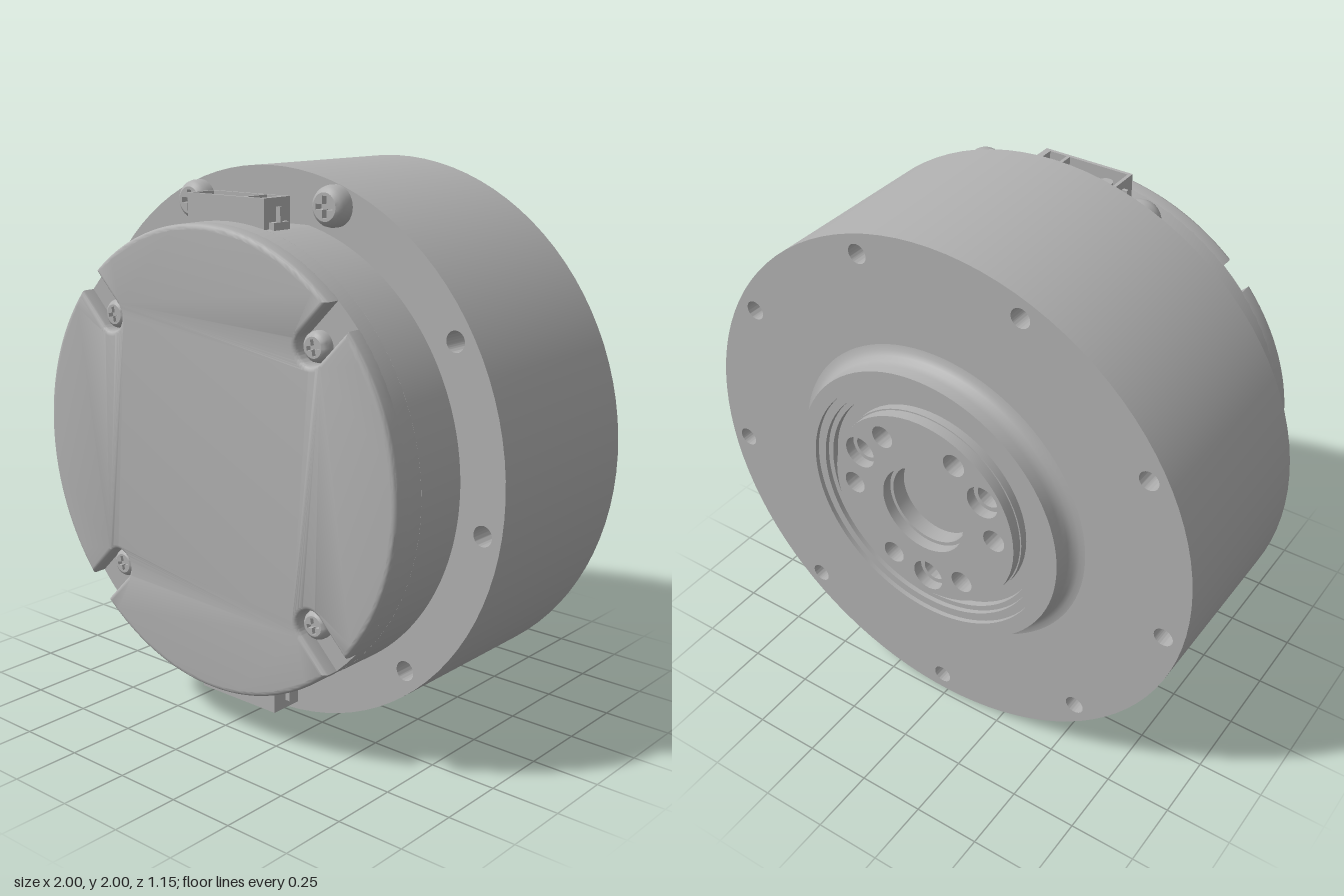
import * as THREE from 'three';
import { toCreasedNormals } from 'three/addons/utils/BufferGeometryUtils.js';

const rad = THREE.MathUtils.degToRad;
const metal = new THREE.MeshStandardMaterial({ color: 0xb0b0b0 });
metal.name = 'grey metal';

function part(name, geometry, parent) {
  const mesh = new THREE.Mesh(toCreasedNormals(geometry, 0.6), metal);
  mesh.name = name;
  parent.add(mesh);
  return mesh;
}

function disc(r, x = 0, y = 0, Type = THREE.Path) {
  return new Type().absarc(x, y, r, 0, Math.PI * 2, false);
}

function polar(r, degrees) {
  return [r * Math.cos(rad(degrees)), r * Math.sin(rad(degrees))];
}

function rect(x0, x1, y0, y1, Type = THREE.Path) {
  const p = new Type();
  p.moveTo(x0, y0).lineTo(x1, y0).lineTo(x1, y1).lineTo(x0, y1).closePath();
  return p;
}

// Slab of a shape between two z levels
function slab(shape, z0, z1, curveSegments = 16) {
  return new THREE.ExtrudeGeometry(shape, { depth: z1 - z0, bevelEnabled: false, curveSegments }).translate(0, 0, z0);
}

function lathe(profile, segments) {
  return new THREE.LatheGeometry(profile.map(([r, h]) => new THREE.Vector2(r, h)), segments);
}

// Pan-head screw with a recessed cross, seated on z = 0
function screw(name, r, h, parent, x, y, z, turn = 0) {
  const g = new THREE.Group();
  g.name = name;
  part('screwHead', lathe([[r, 0], [r, 0.4 * h], [0.94 * r, 0.68 * h], [0.84 * r, 0.87 * h], [0.68 * r, h]], 32).rotateX(Math.PI / 2), g);
  const face = disc(0.68 * r, 0, 0, THREE.Shape);
  const a = 0.52 * r, w = 0.13 * r;
  face.holes.push(new THREE.Path([[a, -w], [a, w], [w, w], [w, a], [-w, a], [-w, w], [-a, w], [-a, -w], [-w, -w], [-w, -a], [w, -a], [w, -w]]
    .map(([px, py]) => new THREE.Vector2(px, py))));
  part('screwFace', slab(face, 0.5 * h, h), g);
  part('crossFloor', new THREE.CircleGeometry(0.68 * r, 24).translate(0, 0, 0.52 * h), g);
  g.position.set(x, y, z);
  g.rotation.z = turn;
  parent.add(g);
}

// Cable socket that opens along +y
function socket(name, parent) {
  const g = new THREE.Group();
  g.name = name;
  const cx = -0.015;
  const shell = rect(cx - 0.178, cx + 0.178, -0.445, -0.318, THREE.Shape);
  shell.holes.push(rect(cx - 0.165, cx + 0.072, -0.432, -0.33), rect(cx + 0.085, cx + 0.155, -0.432, -0.33));
  part('socketShell', slab(shell, 0.79, 0.91).rotateX(-Math.PI / 2), g);
  part('socketFloor', new THREE.BoxGeometry(0.34, 0.03, 0.12).translate(cx, 0.82, 0.381), g);
  for (const x of [-0.125, 0.005])
    part('powerPin', new THREE.CylinderGeometry(0.026, 0.028, 0.06, 20).translate(x, 0.86, 0.378), g);
  for (const z of [0.35, 0.41])
    part('signalPin', new THREE.BoxGeometry(0.014, 0.06, 0.014).translate(cx + 0.12, 0.86, z), g);
  for (const s of [-1, 1]) {
    part('socketFoot', new THREE.BoxGeometry(0.03, 0.04, 0.08).translate(cx + s * 0.185, 0.81, 0.381), g);
    part('socketRib', new THREE.BoxGeometry(0.025, 0.07, 0.012).translate(cx + s * 0.185, 0.845, 0.381), g);
  }
  parent.add(g);
  return g;
}

export function createModel() {
  const model = new THREE.Group();
  model.name = 'motor';
  const core = new THREE.Group();
  core.name = 'motorCore';
  core.position.y = 1;
  model.add(core);

  // Main drum with nine holes around the rim
  const drum = disc(1, 0, 0, THREE.Shape);
  const rim = Array.from({ length: 9 }, (_, i) => 31.4 + 40 * i);
  for (const a of rim) drum.holes.push(disc(0.036, ...polar(0.928, a)));
  part('drum', slab(drum, -0.475, 0.235, 48), core);

  // Three rim holes are taken by screws
  for (const i of [1, 2, 6]) {
    const [x, y] = polar(0.928, rim[i]);
    screw('rimScrew', 0.071, 0.062, core, x, y, 0.235);
    part('rimScrewShaft', new THREE.CylinderGeometry(0.035, 0.035, 0.5, 20).rotateX(Math.PI / 2).translate(x, y, 0), core);
  }

  // Cover base, flattened at top and bottom for the sockets
  const R = 0.825, flat = Math.asin(0.807 / R);
  const base = new THREE.Shape();
  base.absarc(0, 0, R, -flat, flat, false);
  base.absarc(0, 0, R, Math.PI - flat, Math.PI + flat, false);
  base.closePath();
  part('coverBase', slab(base, 0.235, 0.445, 48), core);
  part('coverMiddle', slab(disc(R, 0, 0, THREE.Shape), 0.445, 0.515, 48), core);

  // Cover face with rounded edges and four diagonal screw slots
  const w = 0.058, slotR = 0.665, off = Math.asin(w / R);
  const face = new THREE.Shape();
  for (let k = 0; k < 4; k++) {
    const a = rad(45 + 90 * k);
    face.absarc(0, 0, R, a - Math.PI / 2 + off, a - off, false);
    face.absarc(slotR * Math.cos(a), slotR * Math.sin(a), w, a - Math.PI / 2, a + Math.PI / 2, true);
  }
  face.closePath();
  const bevel = 0.018;
  part('coverFace', new THREE.ExtrudeGeometry(face, {
    depth: 0.08 - 2 * bevel, bevelThickness: bevel, bevelSize: bevel, bevelOffset: -bevel, bevelSegments: 4, curveSegments: 28,
  }).translate(0, 0, 0.495 + bevel), core);
  for (let k = 0; k < 4; k++) {
    const [x, y] = polar(slotR, 45 + 90 * k);
    screw('coverScrew', 0.052, 0.04, core, x, y, 0.515, 0.2);
  }

  // Matching sockets above and below
  socket('topSocket', core);
  socket('bottomSocket', core).rotation.z = Math.PI;

  // Rear boss with fillet and stepped seal groove
  part('rearBoss', lathe([
    [0.6, 0.475], [0.58, 0.479], [0.563, 0.489], [0.551, 0.504], [0.546, 0.525], [0.545, 0.565],
    [0.487, 0.565], [0.487, 0.548], [0.455, 0.548], [0.455, 0.53], [0.435, 0.53], [0.435, 0.505], [0.37, 0.505],
  ], 96).rotateX(-Math.PI / 2), core);

  // Output hub in two layers, giving stepped bore and dowel holes
  const layers = [[-0.535, -0.475, 0.385, 0.158, 0.045], [-0.575, -0.535, 0.38, 0.172, 0.062]];
  for (const [z0, z1, outer, bore, dowel] of layers) {
    const hub = disc(outer, 0, 0, THREE.Shape);
    hub.holes.push(disc(bore));
    for (let i = 0; i < 3; i++) {
      const a = 28 + 120 * i;
      hub.holes.push(disc(dowel, ...polar(0.3, a)));
      for (const s of [-30, 30]) hub.holes.push(disc(0.043, ...polar(0.3, a + s)));
    }
    part('outputHub', slab(hub, z0, z1, 32), core);
  }
  return model;
}
